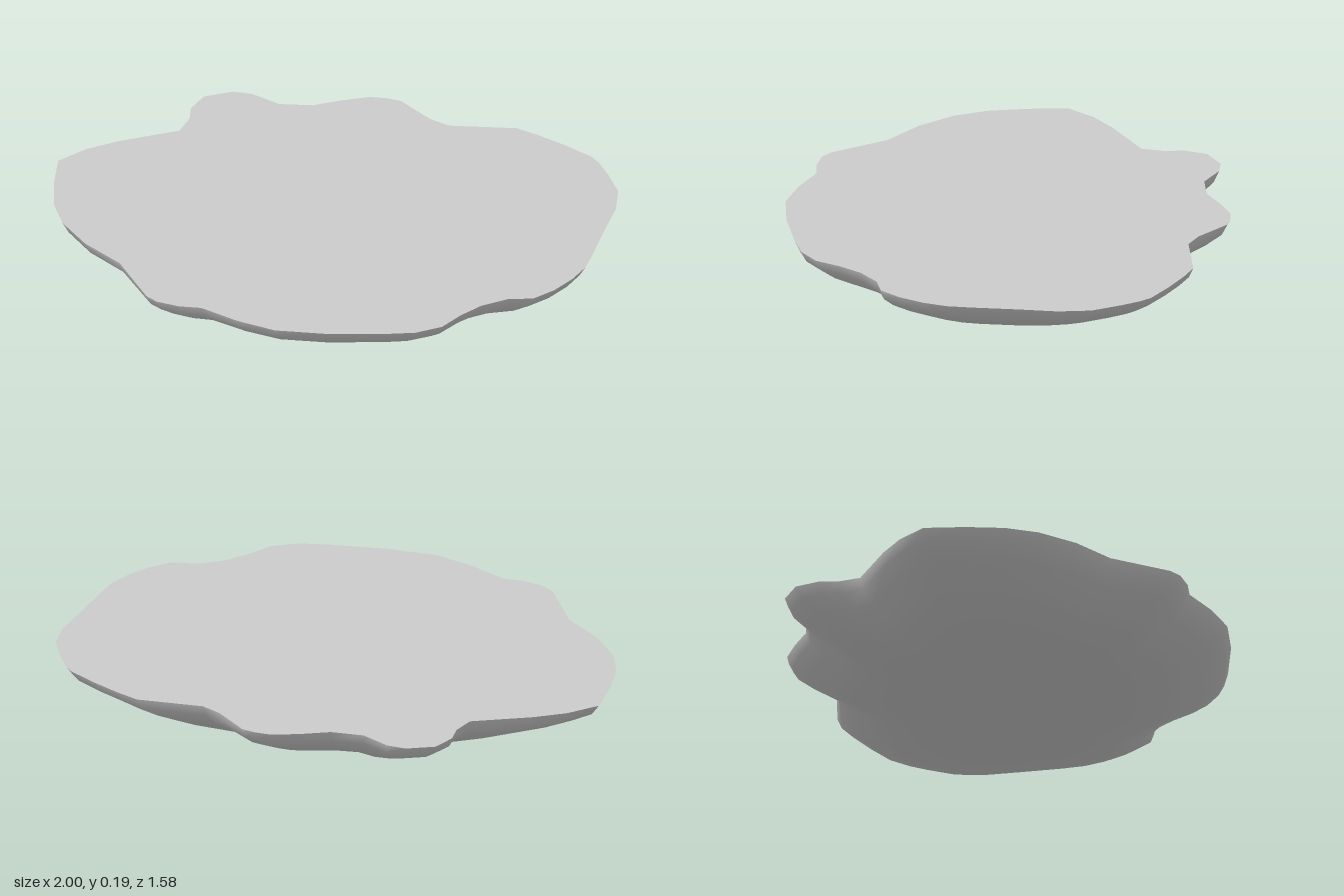
import * as THREE from 'three';

// Rim outline as x, z pairs, clockwise seen from above
const RIM = [
  -0.41, -0.79, -0.34, -0.78, -0.24, -0.72, -0.12, -0.72, -0.02, -0.76, 0.08, -0.79, 0.14, -0.785,
  0.19, -0.77, 0.30, -0.66, 0.37, -0.62, 0.61, -0.62, 0.69, -0.58, 0.79, -0.52, 0.89, -0.45,
  0.92, -0.41, 0.955, -0.34, 1, -0.23, 1, -0.11, 0.97, 0.03, 0.94, 0.19, 0.92, 0.28, 0.88, 0.36,
  0.82, 0.44, 0.75, 0.50, 0.66, 0.51, 0.57, 0.56, 0.50, 0.63, 0.44, 0.71, 0.35, 0.755, 0.25, 0.77,
  0.03, 0.785, -0.15, 0.775, -0.29, 0.72, -0.42, 0.645, -0.50, 0.64, -0.58, 0.615, -0.62, 0.58,
  -0.73, 0.37, -0.86, 0.25, -0.95, 0.12, -0.99, 0, -1, -0.14, -0.995, -0.29, -0.90, -0.375,
  -0.79, -0.435, -0.58, -0.52, -0.55, -0.60, -0.55, -0.67, -0.51, -0.75,
];

// Side profile: height, scale of the outline, rounding of the notches
const PROFILE = [
  [0.19, 1, 0], [0.15, 0.975, 0.05], [0.105, 0.9, 0.15],
  [0.062, 0.8, 0.25], [0.028, 0.72, 0.35], [0.002, 0.58, 0.5], [0, 0.54, 0.55],
];
const N = RIM.length / 2;

// One ring of the outline, scaled and blended towards an ellipse
function ring([y, scale, rounding]) {
  const out = [];
  for (let i = 0; i < N; i++) {
    const x = RIM[2 * i], z = RIM[2 * i + 1];
    const toEllipse = 1 / Math.hypot(x, z / 0.79);
    const k = scale * (1 + (toEllipse - 1) * rounding);
    out.push(x * k, y, z * k);
  }
  return out;
}

function makeMesh(name, positions, index, material) {
  const geometry = new THREE.BufferGeometry();
  geometry.setAttribute('position', new THREE.Float32BufferAttribute(positions, 3));
  geometry.setIndex(index);
  geometry.computeVertexNormals();
  const mesh = new THREE.Mesh(geometry, material);
  mesh.name = name;
  return mesh;
}

export function createModel() {
  const group = new THREE.Group();
  group.name = 'slab';
  const material = new THREE.MeshStandardMaterial({ color: 0xcccccc });

  // Smooth tapering underside with a flat floor
  const positions = PROFILE.flatMap(ring);
  const index = [];
  for (let r = 0; r < PROFILE.length - 1; r++) {
    for (let i = 0; i < N; i++) {
      const j = (i + 1) % N;
      const a = r * N + i, b = r * N + j, c = a + N, d = b + N;
      index.push(a, b, d, a, d, c);
    }
  }
  const last = (PROFILE.length - 1) * N, centre = PROFILE.length * N;
  positions.push(0, 0, 0);
  for (let i = 0; i < N; i++) index.push(centre, last + i, last + (i + 1) % N);
  group.add(makeMesh('underside', positions, index, material));

  // Flat top, with a sharp edge at the rim
  const topIndex = [];
  for (let i = 0; i < N; i++) topIndex.push(N, (i + 1) % N, i);
  group.add(makeMesh('topSurface', [...ring(PROFILE[0]), 0, PROFILE[0][0], 0], topIndex, material));

  return group;
}
